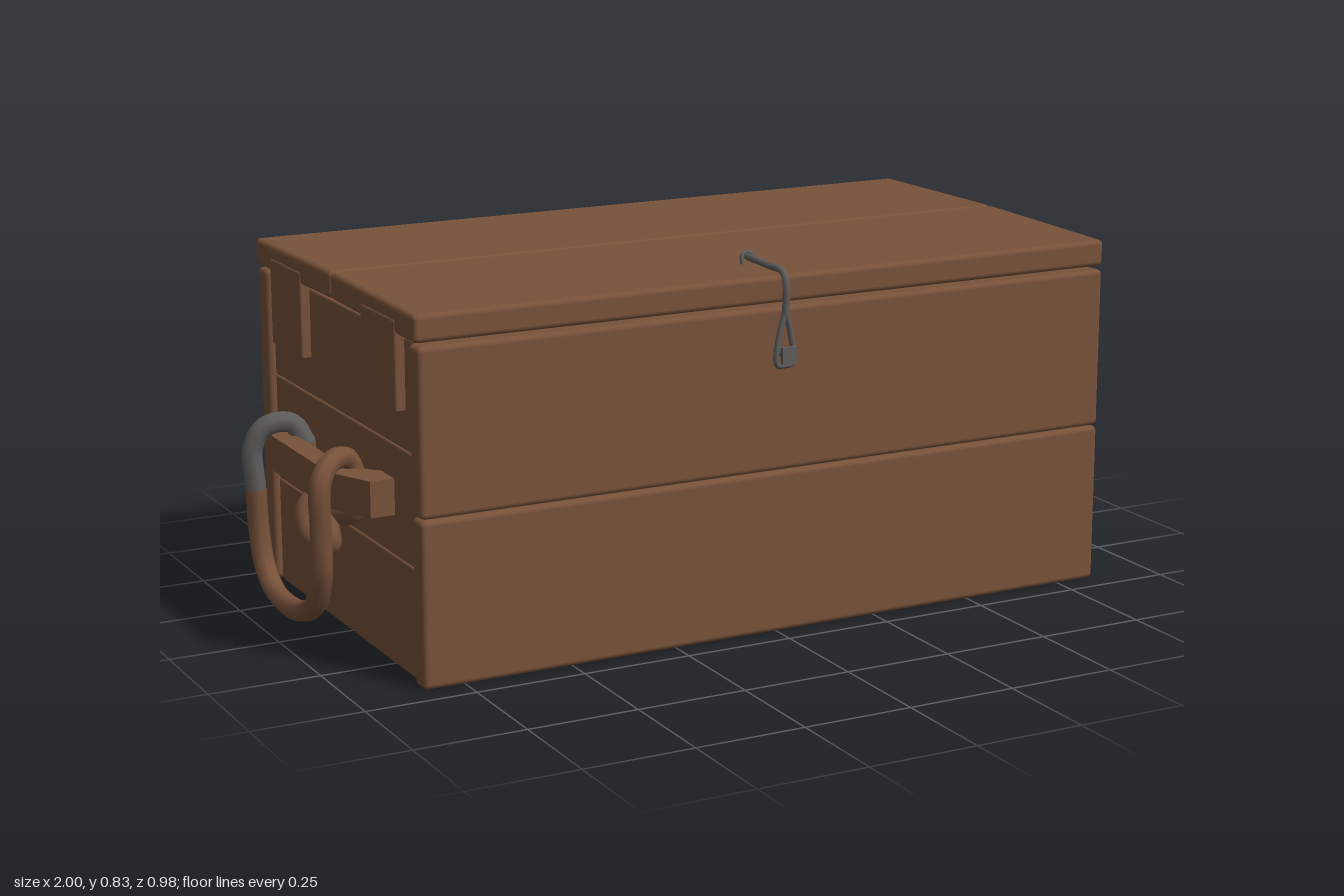
import * as THREE from 'three';
import { RoundedBoxGeometry } from 'three/addons/geometries/RoundedBoxGeometry.js';

export function createModel() {
  const chest = new THREE.Group();
  chest.name = 'chest';
  const wood = new THREE.MeshStandardMaterial({ name: 'brown wood', color: 0x78523a });
  const iron = new THREE.MeshStandardMaterial({ name: 'grey iron', color: 0x5f5d5c });

  const add = (name, geometry, material = wood, parent = chest) => {
    const mesh = new THREE.Mesh(geometry, material);
    mesh.name = name;
    parent.add(mesh);
    return mesh;
  };
  // Bevelled board given by its min and max on each axis
  const board = (name, [x0, x1], [y0, y1], [z0, z1], r = 0.012, parent = chest) => {
    const mesh = add(name, new RoundedBoxGeometry(x1 - x0, y1 - y0, z1 - z0, 2, r), wood, parent);
    mesh.position.set((x0 + x1) / 2, (y0 + y1) / 2, (z0 + z1) / 2);
    return mesh;
  };
  // Rounded strand through points; s mirrors it across x. Ends are closed with balls.
  const strand = (name, points, radius, material, parent, s = 1) => {
    const path = points.map(([x, y, z]) => new THREE.Vector3(x * s, y, z));
    const curve = new THREE.CatmullRomCurve3(path, false, 'centripetal');
    add(name, new THREE.TubeGeometry(curve, points.length * 5, radius, 8), material, parent);
    for (const end of [path[0], path[path.length - 1]]) {
      add(name + 'End', new THREE.SphereGeometry(radius, 8, 6), material, parent).position.copy(end);
    }
  };

  // Front and back planks, two high, and the floor
  for (const [name, z] of [['front', [0.393, 0.447]], ['back', [-0.488, -0.434]]]) {
    board(name + 'LowerPlank', [-0.845, 0.845], [0.004, 0.371], z);
    board(name + 'UpperPlank', [-0.845, 0.845], [0.373, 0.739], z);
  }
  board('floor', [-0.825, 0.825], [0.004, 0.05], [-0.432, 0.391], 0.004);

  // Lid: two planks rising slightly to the middle seam
  const lid = new THREE.Group();
  lid.name = 'lid';
  chest.add(lid);
  board('lidFrontPlank', [-0.85, 0.85], [0.748, 0.809], [-0.021, 0.441], 0.012, lid).rotation.x = 0.012;
  board('lidBackPlank', [-0.85, 0.85], [0.748, 0.809], [-0.486, -0.023], 0.012, lid).rotation.x = -0.012;

  for (const s of [1, -1]) {
    const side = s > 0 ? 'left' : 'right';
    const span = (a, b) => (s > 0 ? [a, b] : [-b, -a]);

    // End wall of three planks, with two battens let into the lid
    [[0.004, 0.248], [0.249, 0.495], [0.496, 0.739]].forEach((y, i) =>
      board(`${side}EndPlank${i + 1}`, span(0.77, 0.83), y, [-0.432, 0.391], 0.005));
    for (const z of [[0.157, 0.342], [-0.385, -0.198]]) {
      board(side + 'Batten', span(0.80, 0.853), [0.58, 0.778], z, 0.006);
    }

    // Cleat: a bar with chamfered ends, hollow behind for the rope
    const handle = new THREE.Group();
    handle.name = side + 'Handle';
    chest.add(handle);
    const outline = [[0.82, 0.27], [0.885, 0.27], [0.935, 0.16], [0.935, -0.2], [0.885, -0.31],
      [0.82, -0.31], [0.82, -0.25], [0.885, -0.18], [0.885, 0.14], [0.82, 0.21]];
    const shape = new THREE.Shape(outline.map(([x, z]) => new THREE.Vector2(x * s, -z)));
    const bar = new THREE.ExtrudeGeometry(shape, { depth: 0.08, bevelEnabled: false });
    add('cleat', bar.rotateX(-Math.PI / 2), wood, handle).position.y = 0.34;

    // Rope loop hanging in front of the cleat, its ends passing over and behind
    const r = 0.024;
    strand('ropeLoop', [[0.87, 0.29, 0.05], [0.862, 0.32, 0.13], [0.86, 0.39, 0.13], [0.885, 0.44, 0.14],
      [0.935, 0.446, 0.175], [0.968, 0.41, 0.198], [0.968, 0.3, 0.192], [0.963, 0.2, 0.177],
      [0.96, 0.12, 0.125], [0.96, 0.08, 0.04], [0.96, 0.071, -0.06], [0.96, 0.085, -0.135],
      [0.963, 0.13, -0.18], [0.967, 0.21, -0.197], [0.971, 0.3, -0.196]], r, wood, handle, s);
    strand('greyRopePart', [[0.971, 0.3, -0.196], [0.974, 0.4, -0.196], [0.945, 0.443, -0.187],
      [0.89, 0.446, -0.175], [0.862, 0.4, -0.165]], r, iron, handle, s);
    strand('ropeInnerEnd', [[0.862, 0.4, -0.165], [0.86, 0.33, -0.16], [0.87, 0.3, -0.1],
      [0.895, 0.285, -0.01], [0.9, 0.262, 0.06]], r, wood, handle, s);

    // Knot under the cleat
    strand('knotLoop', [[0.88, 0.29, 0.0], [0.9, 0.27, 0.06], [0.9, 0.235, 0.072], [0.9, 0.216, 0.04],
      [0.89, 0.235, 0.0], [0.885, 0.262, -0.03], [0.885, 0.24, -0.095]], r, wood, handle, s);
    strand('knotWrap', [[0.86, 0.3, -0.03], [0.9, 0.315, -0.026], [0.925, 0.28, -0.022],
      [0.915, 0.235, -0.01], [0.875, 0.225, 0.005]], 0.022, wood, handle, s);
  }

  // Latch: a strap from the lid that splits into a loop around a peg
  const latch = new THREE.Group();
  latch.name = 'latch';
  chest.add(latch);
  strand('latchStrap', [[0, 0.823, 0.3], [0, 0.82, 0.4], [0, 0.818, 0.455], [0, 0.8, 0.47],
    [0, 0.725, 0.47]], 0.008, iron, latch);
  for (const s of [1, -1]) {
    strand('latchLoop', [[0, 0.735, 0.47], [0.012, 0.69, 0.469], [0.021, 0.63, 0.468],
      [0.017, 0.615, 0.468], [0, 0.614, 0.468]], 0.007, iron, latch, s);
    strand('lidStaple', [[0.014, 0.8, 0.305], [0.013, 0.826, 0.3], [0, 0.834, 0.298]], 0.005, iron, latch, s);
  }
  const peg = add('latchPeg', new THREE.CylinderGeometry(0.011, 0.011, 0.05, 8), iron, latch);
  peg.rotation.x = Math.PI / 2;
  peg.position.set(0, 0.64, 0.464);
  const head = add('latchPegHead', new THREE.BoxGeometry(0.036, 0.038, 0.008), iron, latch);
  head.position.set(0, 0.64, 0.487);

  return chest;
}
